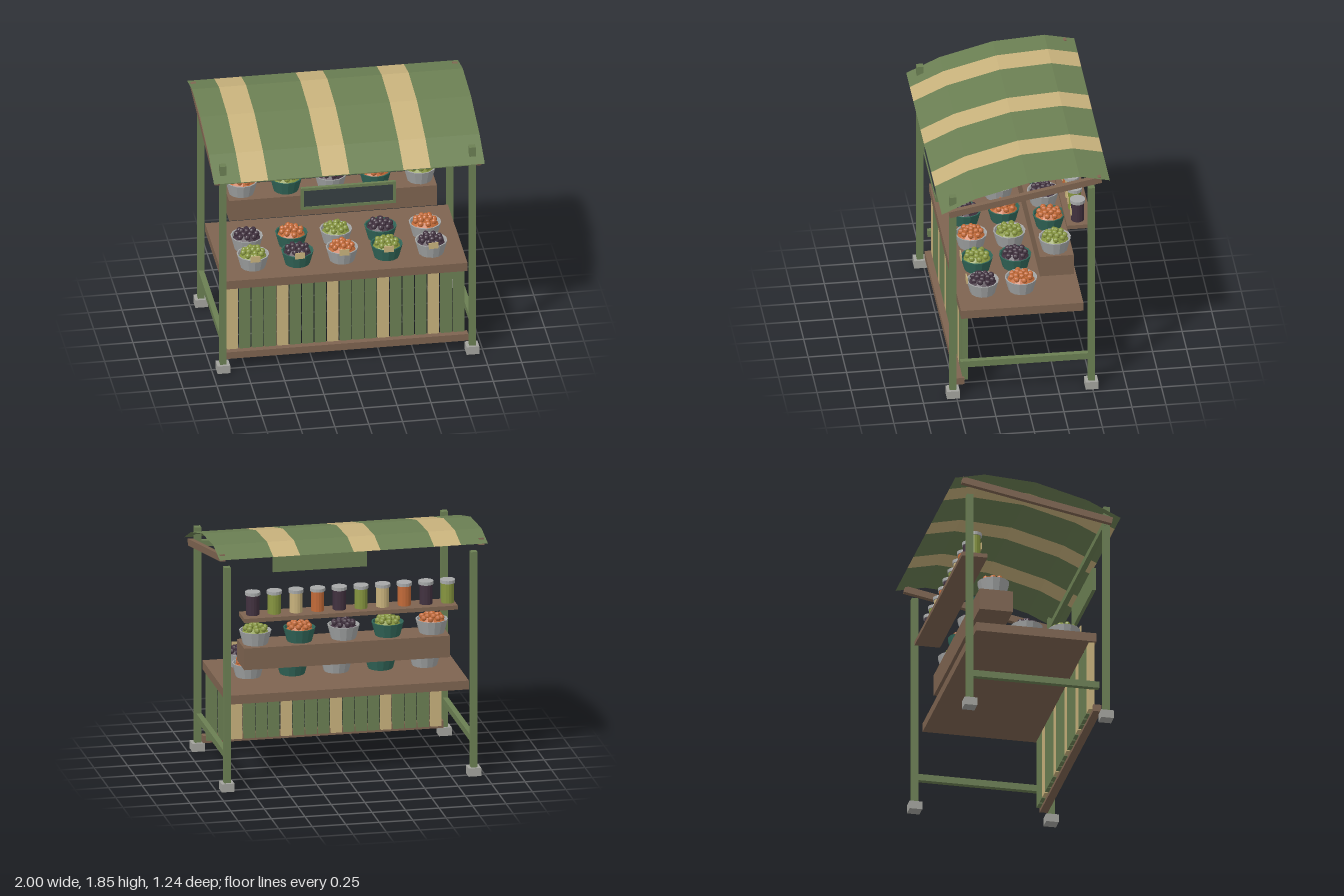
import * as THREE from 'three';

const mat = (name, color) =>
  new THREE.MeshStandardMaterial({ name, color, flatShading: true, side: THREE.DoubleSide });

export function createModel() {
  const green = mat('painted green', 0x6b7f53);
  const tan = mat('cream tan', 0xc8b27c);
  const wood = mat('brown wood', 0x7e6450);
  const stone = mat('stone grey', 0xa3a39e);
  const steel = mat('galvanised steel', 0xa6a8a8);
  const teal = mat('teal enamel', 0x32685a);
  const slate = mat('slate', 0x363f42);
  const olive = mat('olive green', 0x86953f);
  const plum = mat('plum', 0x41313f);
  const orange = mat('orange', 0xc26a38);

  const model = new THREE.Group();
  model.name = 'marketStall';

  const add = (name, geometry, material, x, y, z, parent = model) => {
    const mesh = new THREE.Mesh(geometry, material);
    mesh.name = name;
    mesh.position.set(x, y, z);
    parent.add(mesh);
    return mesh;
  };
  // Box given by its minimum and maximum on each axis
  const box = (name, material, x0, x1, y0, y1, z0, z1, parent = model) =>
    add(name, new THREE.BoxGeometry(x1 - x0, y1 - y0, z1 - z0), material,
      (x0 + x1) / 2, (y0 + y1) / 2, (z0 + z1) / 2, parent);

  // Posts, feet, side rails and rafters
  for (const s of [-1, 1]) {
    const x = s * 0.92;
    for (const z of [0.525, -0.495]) {
      box('post', green, x - 0.024, x + 0.024, 0.06, 1.705, z - 0.025, z + 0.025);
      box('foot', stone, x - 0.047, x + 0.047, 0, 0.062, z - 0.047, z + 0.047);
    }
    box('sideRail', green, x - 0.02, x + 0.02, 0.245, 0.295, -0.47, 0.47);
    const rafter = add('rafter', new THREE.BoxGeometry(0.038, 0.05, 1.14), wood, s * 0.966, 1.688, -0.002);
    rafter.rotation.x = 0.19;
  }
  box('frontBeam', green, -0.945, 0.945, 1.555, 1.6, 0.505, 0.545);

  // Arched striped canopy, ten strips of cloth
  const profile = [[0.615, 1.6], [0.37, 1.715], [-0.02, 1.82], [-0.4, 1.845], [-0.62, 1.797]];
  for (let i = 0; i < 10; i++) {
    const x0 = -1 + i * 0.2, x1 = x0 + 0.2, v = [];
    for (let k = 0; k < profile.length - 1; k++) {
      const [za, ya] = profile[k], [zb, yb] = profile[k + 1];
      v.push(x0, ya, za, x1, ya, za, x1, yb, zb, x0, ya, za, x1, yb, zb, x0, yb, zb);
    }
    const g = new THREE.BufferGeometry();
    g.setAttribute('position', new THREE.Float32BufferAttribute(v, 3));
    g.computeVertexNormals();
    add('canopyStrip', g, i % 3 === 1 ? tan : green, 0, 0, 0);
  }

  // Counter with slatted front
  box('counterTop', wood, -0.897, 0.897, 0.635, 0.702, -0.44, 0.46);
  box('bottomRail', wood, -0.897, 0.897, 0.076, 0.13, 0.435, 0.494);
  for (let i = 0; i < 19; i++) {
    const x = -0.835 + i * 0.0928;
    box('slat', i % 4 === 0 ? tan : green, x - 0.04, x + 0.04, 0.1, 0.635, 0.407, 0.448);
  }

  // Display riser and jar shelf
  box('displayRiser', wood, -0.767, 0.767, 0.873, 1.037, -0.386, -0.137);
  box('jarShelf', wood, -0.796, 0.796, 1.276, 1.307, -0.523, -0.333);

  // Hanging sign: backing, raised rim and slate face
  const sign = new THREE.Group();
  sign.name = 'sign';
  model.add(sign);
  box('signBacking', green, -0.35, 0.35, 1.31, 1.487, 0.55, 0.564, sign);
  box('signFace', slate, -0.33, 0.33, 1.33, 1.467, 0.564, 0.569, sign);
  for (const y of [1.31, 1.465]) box('signRim', green, -0.35, 0.35, y, y + 0.022, 0.555, 0.575, sign);
  for (const x of [-0.35, 0.328]) box('signRim', green, x, x + 0.022, 1.31, 1.487, 0.555, 0.575, sign);

  // Row of preserve jars
  const bodyGeo = new THREE.CylinderGeometry(0.048, 0.048, 0.152, 14);
  const lidGeo = new THREE.CylinderGeometry(0.056, 0.056, 0.024, 14);
  const labelGeo = new THREE.BoxGeometry(0.05, 0.052, 0.008);
  const preserves = [olive, plum, orange, tan];
  for (let i = 0; i < 10; i++) {
    const jar = new THREE.Group();
    jar.name = 'jar';
    jar.position.set(-0.742 + i * 0.1615, 1.307, -0.42);
    add('jarBody', bodyGeo, preserves[i % 4], 0, 0.076, 0, jar);
    add('jarLid', lidGeo, steel, 0, 0.162, 0, jar);
    add('jarLabel', labelGeo, tan, 0, 0.075, 0.049, jar);
    model.add(jar);
  }

  // Tubs heaped with produce
  const tubGeo = new THREE.LatheGeometry(
    [[0, 0], [0.092, 0], [0.119, 0.102], [0.109, 0.102], [0.1, 0.08]].map(p => new THREE.Vector2(...p)), 14);
  const moundGeo = new THREE.CylinderGeometry(0.06, 0.1, 0.038, 14);
  const fruitGeo = new THREE.SphereGeometry(0.022, 9, 6);
  const rings = [[8, 0.072, 0.115], [5, 0.04, 0.127], [1, 0, 0.132]];
  const tub = (x, y, z, tubMaterial, produce, turn) => {
    const g = new THREE.Group();
    g.name = 'produceTub';
    g.position.set(x, y, z);
    add('tub', tubGeo, tubMaterial, 0, 0, 0, g);
    add('produceMound', moundGeo, produce, 0, 0.1, 0, g);
    for (const [n, r, h] of rings) {
      for (let k = 0; k < n; k++) {
        const a = turn + h * 40 + (k / n) * Math.PI * 2;
        add('fruit', fruitGeo, produce, r * Math.cos(a), h + 0.004 * Math.sin(k * 2.4 + turn), r * Math.sin(a), g);
      }
    }
    model.add(g);
    return g;
  };
  const produceKinds = [olive, plum, orange];
  const rows = [[0.712, 0.27], [0.712, -0.012], [1.037, -0.26]];
  const tagGeo = new THREE.BoxGeometry(0.072, 0.048, 0.008);
  rows.forEach(([y, z], row) => {
    for (let i = 0; i < 5; i++) {
      const g = tub((i - 2) * 0.329, y, z, i % 2 ? teal : steel, produceKinds[(i + row) % 3], i * 1.3 + row);
      if (row === 0) {
        // Price card on the front row
        const tag = add('priceCard', tagGeo, tan, 0, 0.115, 0.118, g);
        tag.rotation.z = 0.05 * Math.sin(i * 2);
      }
    }
  });

  return model;
}
